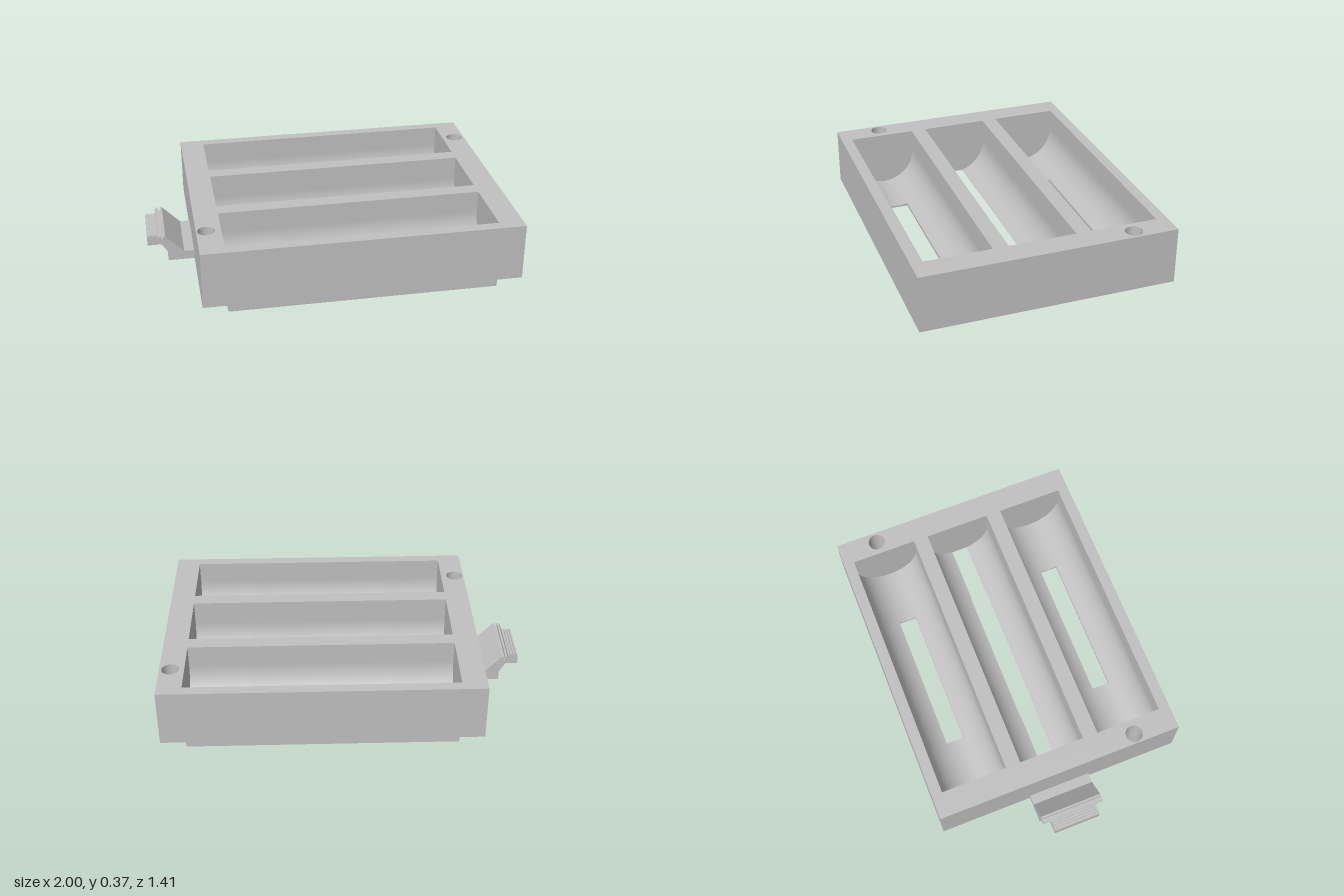
import * as THREE from 'three';
import { toCreasedNormals } from 'three/addons/utils/BufferGeometryUtils.js';

const R = 0.186;                    // trough radius
const Y0 = 0.05, Y1 = 0.37;         // body bottom and top
const X0 = -0.61, X1 = 0.865;       // trough ends
const S0 = -0.275, S1 = 0.535;      // floor slot ends

export function createModel() {
  const group = new THREE.Group();
  const grey = new THREE.MeshStandardMaterial({ color: 0xc0c0c0 });
  grey.name = 'grey plastic';

  const add = (name, geometry, parent = group) => {
    const mesh = new THREE.Mesh(geometry, grey);
    mesh.name = name;
    parent.add(mesh);
    return mesh;
  };
  const poly = (pts) => new THREE.Shape(pts.map(([x, y]) => new THREE.Vector2(x, y)));
  const extrude = (shape, depth) => new THREE.ExtrudeGeometry(shape, { depth, bevelEnabled: false, curveSegments: 24 });

  // Floor heights differ: the middle trough just breaks through the bottom
  const troughs = [
    { name: 'backTrough', z: -0.46, yc: 0.245, gap: 0 },
    { name: 'middleTrough', z: -0.003, yc: 0.23, gap: 0.047 },
    { name: 'frontTrough', z: 0.455, yc: 0.245, gap: 0 },
  ];

  // Body block, with trough openings and screw holes
  const plan = poly([[-0.745, -0.702], [1, -0.702], [1, 0.706], [-0.745, 0.706]]);
  for (const { z } of troughs) {
    plan.holes.push(poly([[X0, -z - R], [X0, -z + R], [X1, -z + R], [X1, -z - R]]));
  }
  for (const [x, z] of [[0.94, -0.48], [-0.69, 0.455]]) {
    const hole = new THREE.Path();
    hole.absarc(x, -z, 0.047, 0, Math.PI * 2, true);
    plan.holes.push(hole);
  }
  const body = extrude(plan, Y1 - Y0);
  body.rotateX(-Math.PI / 2);
  body.translate(0, Y0, 0);
  add('body', toCreasedNormals(body, 0.6));

  // Half of a curved trough floor, from the side wall in to the slot edge
  const halfFloor = (side, yc, gap, length) => {
    const pts = [[side * R, Y0]];
    const end = Math.acos(gap / R);
    for (let i = 0; i <= 20; i++) {
      const a = (end * i) / 20;
      pts.push([side * R * Math.cos(a), Math.max(Y0, yc - R * Math.sin(a))]);
    }
    pts.push([side * gap, Y0]);
    const g = extrude(poly(pts), length);
    g.rotateY(Math.PI / 2);
    return toCreasedNormals(g, 0.4);
  };

  for (const { name, z, yc, gap } of troughs) {
    const trough = new THREE.Group();
    trough.name = name;
    trough.position.z = z;
    group.add(trough);
    for (const [a, b, g] of [[X0, S0, gap], [S0, S1, 0.051], [S1, X1, gap]]) {
      for (const side of [-1, 1]) {
        add('troughFloor', halfFloor(side, yc, g, b - a), trough).position.x = a;
      }
    }
  }

  // Foot rails
  for (const z of [-0.653, 0.657]) {
    add('footRail', new THREE.BoxGeometry(X1 - X0, Y0, 0.054)).position.set((X0 + X1) / 2, Y0 / 2, z);
  }

  // Latch: sloped arm and narrower ridged thumb grip
  const latch = new THREE.Group();
  latch.name = 'latch';
  latch.position.z = -0.003;
  group.add(latch);
  const addLatch = (name, pts, width) => {
    const g = extrude(poly(pts), width);
    g.translate(0, 0, -width / 2);
    add(name, g, latch);
  };
  addLatch('latchArm', [
    [-0.745, 0.05], [-0.745, 0.1], [-0.8, 0.1], [-0.9, 0.203], [-0.912, 0.203], [-0.912, 0.185],
    [-0.922, 0.185], [-0.922, 0.203], [-0.934, 0.203], [-0.942, 0.19], [-0.89, 0.103], [-0.89, 0.05],
  ], 0.356);
  const grip = [[-0.905, 0.13], [-0.925, 0.18]];
  for (let i = 0; i < 4; i++) {
    const x = -0.943 - i * 0.015;
    grip.push([x, 0.182], [x, 0.191], [x - 0.009, 0.191], [x - 0.009, 0.182]);
  }
  grip.push([-1, 0.182], [-1, 0.13]);
  addLatch('thumbGrip', grip, 0.266);

  return group;
}
